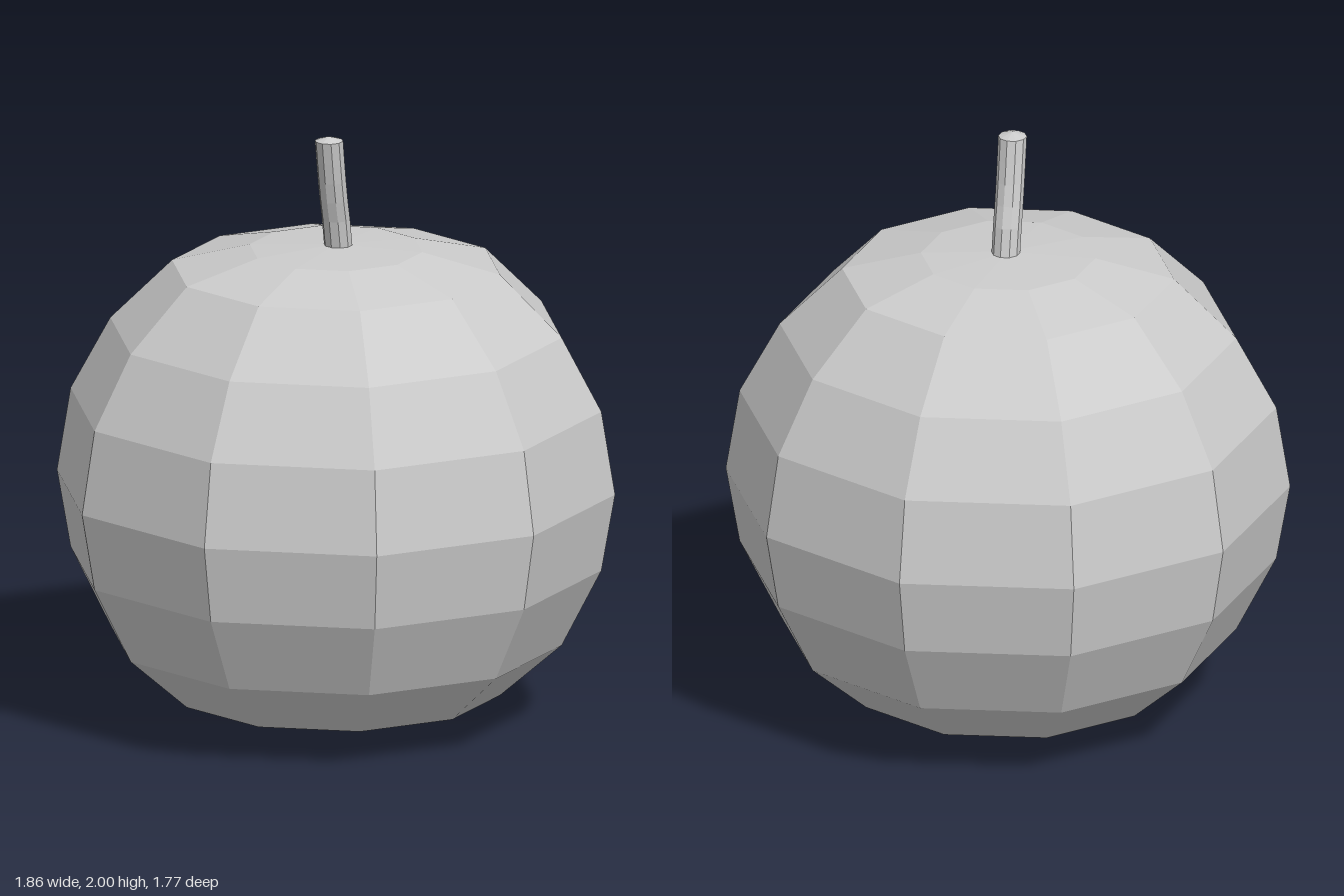
import * as THREE from 'three';

const SIDES = 10;

// Faceted solid of revolution with corners on the x axis
function facetedLathe(name, profile) {
  const points = profile.map(([r, y]) => new THREE.Vector2(r, y));
  const geometry = new THREE.LatheGeometry(points, SIDES, Math.PI / 2);
  const material = new THREE.MeshStandardMaterial({ color: 0xcccccc, flatShading: true });
  const mesh = new THREE.Mesh(geometry, material);
  mesh.name = name;
  return mesh;
}

export function createModel() {
  const group = new THREE.Group();
  group.name = 'pumpkin';

  // Body: ten-sided sphere, flattened at the top
  const radius = 0.928;
  const heights = [0.005, 0.05, 0.1, 0.28, 0.54, 0.8, 1.08, 1.325, 1.53, 1.595, 1.61];
  const last = heights.length - 1;
  const bodyProfile = heights.map((y, i) =>
    [i === 0 || i === last ? 0 : radius * Math.sin((Math.PI * i) / last), y]);
  group.add(facetedLathe('body', bodyProfile));

  // Stem: straight column whose rings are shifted along a gentle bend
  const r = 0.047;
  const stem = facetedLathe('stem', [
    [0, 1.58], [r, 1.58], [r, 1.7], [r, 1.77], [r, 1.84], [r, 1.91], [r, 1.985], [0, 2],
  ]);
  const bend = new THREE.CatmullRomCurve3([
    new THREE.Vector3(0.008, 1.58, -0.008),
    new THREE.Vector3(0.003, 1.7, 0.018),
    new THREE.Vector3(-0.003, 1.84, 0.06),
    new THREE.Vector3(-0.008, 2, 0.092),
  ]);
  const path = bend.getPoints(60);
  const position = stem.geometry.attributes.position;
  for (let i = 0; i < position.count; i++) {
    const y = position.getY(i);
    const centre = path.find((p) => p.y >= y - 0.001) ?? path[path.length - 1];
    position.setX(i, position.getX(i) + centre.x);
    position.setZ(i, position.getZ(i) + centre.z);
  }
  stem.geometry.computeVertexNormals();
  group.add(stem);

  return group;
}
